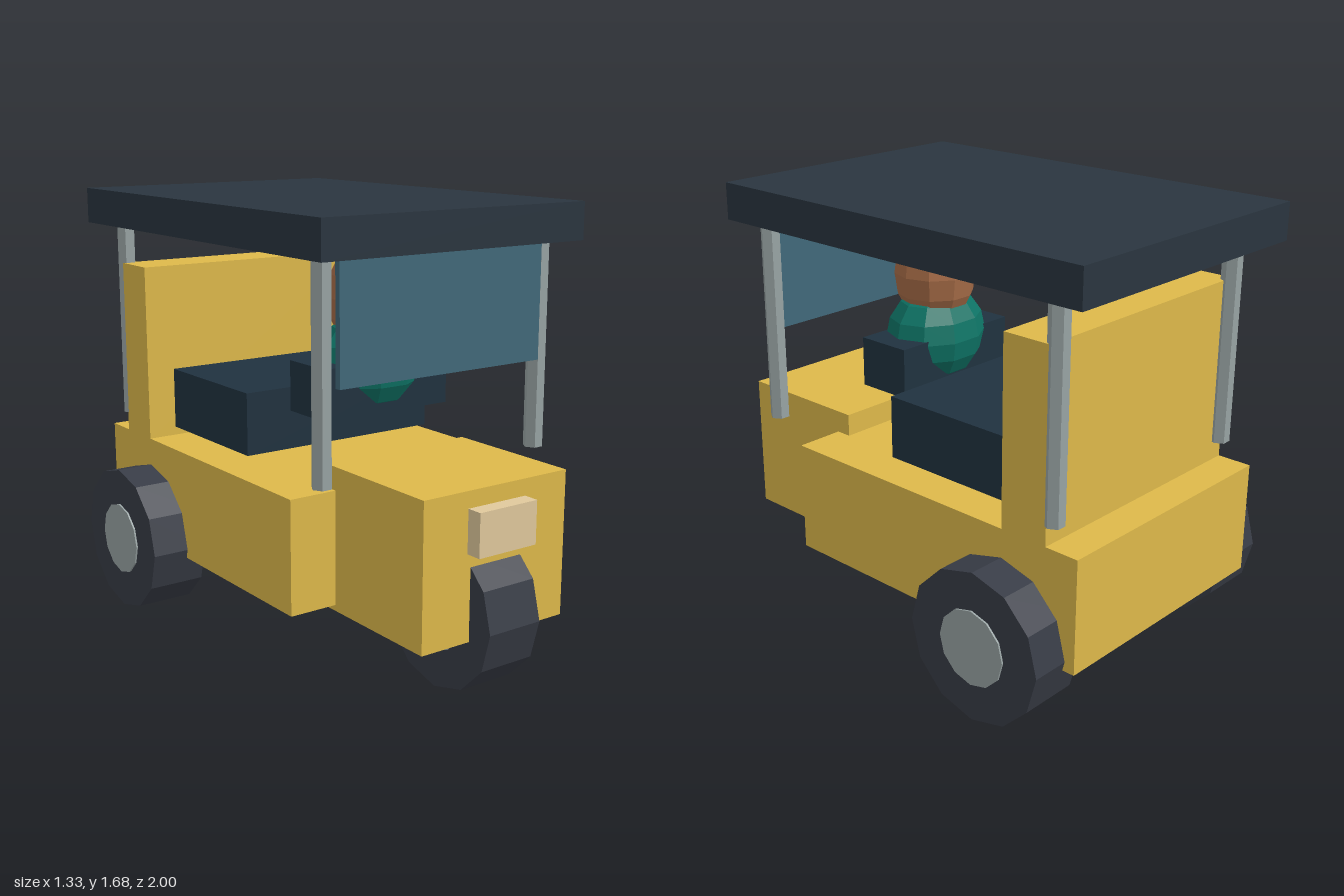
import * as THREE from 'three';

const mat = (color) => new THREE.MeshStandardMaterial({ color, flatShading: true });

export function createModel() {
  const model = new THREE.Group();
  const yellow = mat(0xdeb94a), roofDark = mat(0x2a353f), seatBlue = mat(0x20323f);
  const glass = mat(0x41697a), metal = mat(0x98a3a3), rubber = mat(0x383c46);
  const lamp = mat(0xe0c99c), skin = mat(0xa86d48), cloth = mat(0x0e7466);

  const add = (name, geometry, material, x, y, z) => {
    const mesh = new THREE.Mesh(geometry, material);
    mesh.name = name;
    mesh.position.set(x, y, z);
    model.add(mesh);
    return mesh;
  };

  // Box centred on x, given its half width and its y and z ranges
  const box = (name, material, halfX, y0, y1, z0, z1) =>
    add(name, new THREE.BoxGeometry(2 * halfX, y1 - y0, z1 - z0), material,
      0, (y0 + y1) / 2, (z0 + z1) / 2);

  // Bodywork
  box('body', yellow, 0.512, 0.253, 0.685, -0.965, 0.4);
  box('hood', yellow, 0.32, 0.23, 0.772, 0.337, 0.895);
  box('backPanel', yellow, 0.512, 0.685, 1.385, -0.83, -0.637);
  box('headlight', lamp, 0.128, 0.55, 0.71, 0.895, 0.955);
  box('roof', roofDark, 0.575, 1.54, 1.68, -1, 0.685);
  box('windscreen', glass, 0.447, 1.103, 1.54, 0.58, 0.605);

  // Seats
  box('passengerSeat', seatBlue, 0.425, 0.735, 0.975, -0.58, -0.02);
  box('driverSeat', seatBlue, 0.282, 0.905, 1.097, 0.057, 0.28);

  // Six-sided roof posts
  const postGeometry = new THREE.CylinderGeometry(0.0375, 0.0375, 0.78, 6).rotateY(Math.PI / 2);
  for (const side of [-1, 1]) {
    add('frontPost', postGeometry, metal, side * 0.485, 1.15, 0.553);
    add('rearPost', postGeometry, metal, side * 0.485, 1.15, -0.843);
  }

  // Driver: stretched faceted spheres
  const ball = new THREE.SphereGeometry(1, 10, 8);
  add('driverTorso', ball, cloth, 0, 1.08, 0.167).scale.set(0.21, 0.19, 0.174);
  add('driverHead', ball, skin, 0, 1.325, 0.167).scale.set(0.16, 0.215, 0.158);

  // Wheels with hubs that stand slightly proud on both sides
  const tyreGeometry = new THREE.CylinderGeometry(0.288, 0.288, 0.226, 12).rotateZ(Math.PI / 2);
  const hubGeometry = new THREE.CylinderGeometry(0.144, 0.144, 0.24, 12).rotateZ(Math.PI / 2);
  const wheel = (name, x, z) => {
    add(name + 'Tyre', tyreGeometry, rubber, x, 0.288, z);
    add(name + 'Hub', hubGeometry, metal, x, 0.288, z);
  };
  wheel('frontWheel', 0, 0.714);
  wheel('rearLeftWheel', 0.545, -0.637);
  wheel('rearRightWheel', -0.545, -0.637);

  return model;
}
